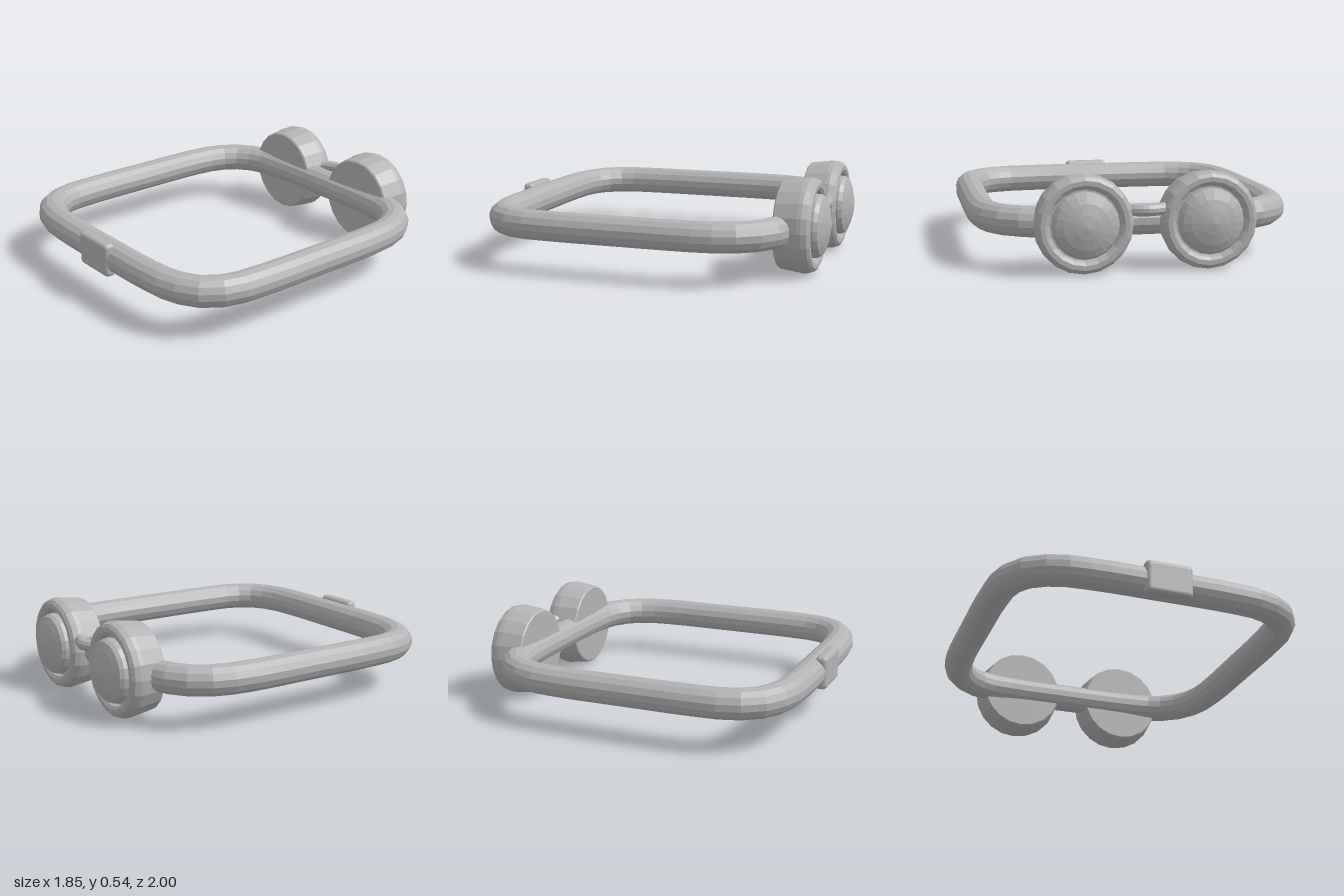
import * as THREE from 'three';
import { RoundedBoxGeometry } from 'three/addons/geometries/RoundedBoxGeometry.js';

const MID_Y = 0.275;

export function createModel() {
  const model = new THREE.Group();
  model.name = 'goggles';
  const grey = new THREE.MeshStandardMaterial({ color: 0xb3b3b3, flatShading: true });
  grey.name = 'plain grey';

  const add = (name, geometry, x = 0, y = 0, z = 0) => {
    const mesh = new THREE.Mesh(geometry, grey);
    mesh.name = name;
    mesh.position.set(x, y, z);
    model.add(mesh);
    return mesh;
  };

  // Head strap: a rounded square loop, half the path mirrored across x
  const half = [
    [0.42, 0.9], [0.6, 0.877], [0.738, 0.803], [0.813, 0.68], [0.835, 0.5],
    [0.84, 0.06], [0.835, -0.37], [0.808, -0.53], [0.74, -0.65], [0.6, -0.742], [0.42, -0.768],
  ];
  const loop = [
    [0, 0.905], ...half, [0, -0.775],
    ...half.slice().reverse().map(([x, z]) => [-x, z]),
  ].map(([x, z]) => new THREE.Vector3(x, MID_Y, z));
  const strapPath = new THREE.CatmullRomCurve3(loop, true, 'centripetal');
  add('strap', new THREE.TubeGeometry(strapPath, 56, 0.086, 14, true));

  // Buckle plate on the front of the strap
  add('buckle', new RoundedBoxGeometry(0.272, 0.195, 0.07, 3, 0.025), 0, 0.278, 0.963);

  // Eye cups: flat inner face, flared wall, rounded rim and groove
  const cupProfile = [
    [0, 0.723], [0.243, 0.723], [0.251, 0.73], [0.269, 0.86], [0.268, 0.885],
    [0.258, 0.915], [0.24, 0.929], [0.215, 0.929], [0.198, 0.918], [0.19, 0.895], [0, 0.895],
  ].map(([r, d]) => new THREE.Vector2(r, d));

  // Lens: a shallow dome standing out of the cup
  const lensProfile = [
    [0.18, 0.89], [0.178, 0.933], [0.165, 0.955], [0.125, 0.973], [0.065, 0.989], [0, 1],
  ].map(([r, d]) => new THREE.Vector2(r, d));

  for (const [side, x] of [['left', 0.342], ['right', -0.342]]) {
    add(side + 'Cup', new THREE.LatheGeometry(cupProfile, 20), x, MID_Y).rotation.x = -Math.PI / 2;
    add(side + 'Lens', new THREE.LatheGeometry(lensProfile, 20), x, MID_Y).rotation.x = -Math.PI / 2;
  }

  // Nose bridge: a small arch joining the cups
  const bridgePath = new THREE.CatmullRomCurve3(
    [[-0.14, -0.83], [-0.085, -0.878], [0, -0.906], [0.085, -0.878], [0.14, -0.83]]
      .map(([x, z]) => new THREE.Vector3(x, 0.345, z)),
  );
  add('noseBridge', new THREE.TubeGeometry(bridgePath, 14, 0.034, 10, false));

  return model;
}
